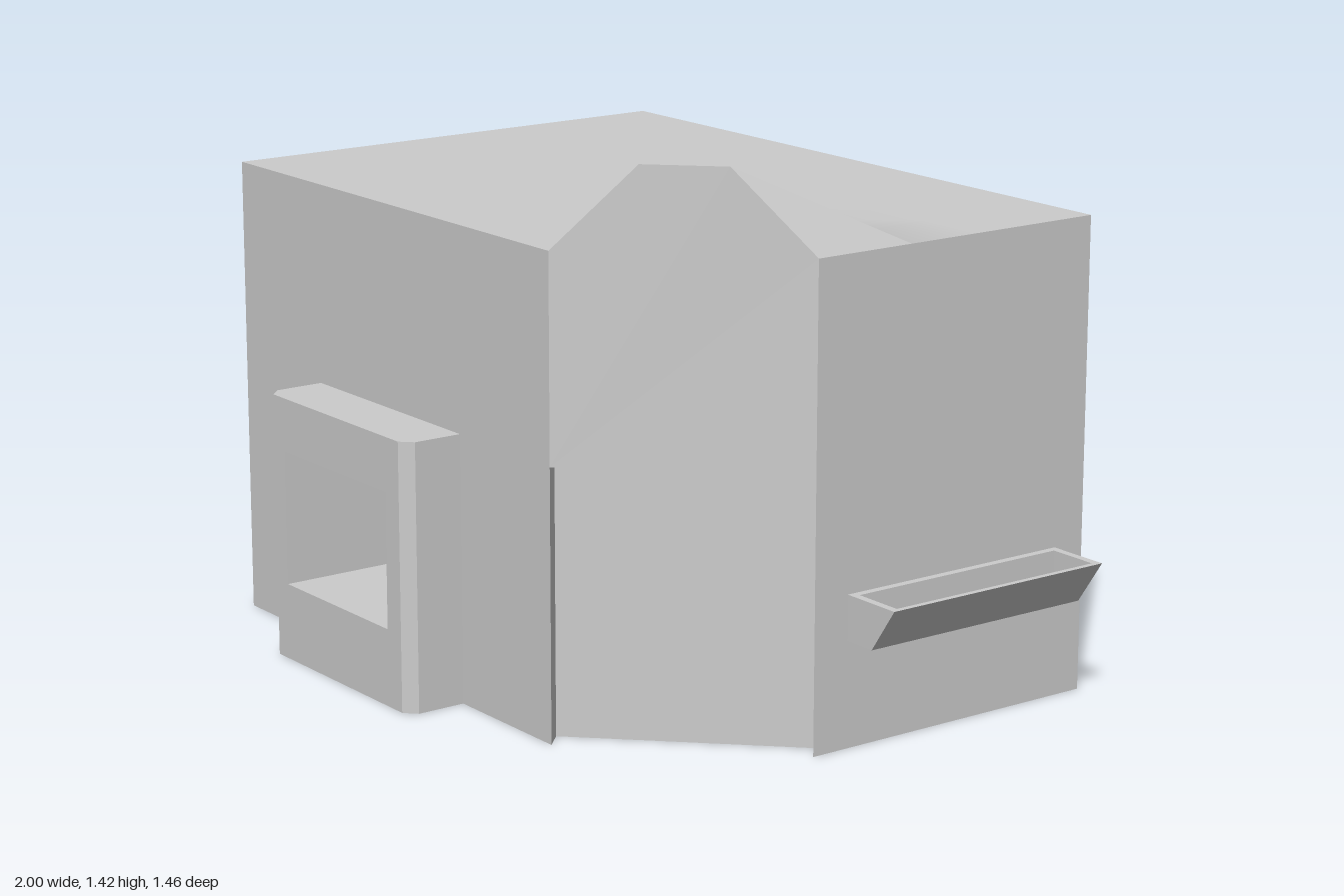
import * as THREE from 'three';
import { toCreasedNormals } from 'three/addons/utils/BufferGeometryUtils.js';

const material = new THREE.MeshStandardMaterial({ color: 0xcccccc, side: THREE.DoubleSide });

function add(parent, name, geometry) {
  const mesh = new THREE.Mesh(geometry, material);
  mesh.name = name;
  parent.add(mesh);
  return mesh;
}

// Convex flat polygons, each listed counter-clockwise from its front
function polygons(list) {
  const pos = [];
  for (const p of list)
    for (let i = 1; i < p.length - 1; i++) pos.push(...p[0], ...p[i], ...p[i + 1]);
  const g = new THREE.BufferGeometry();
  g.setAttribute('position', new THREE.Float32BufferAttribute(pos, 3));
  g.computeVertexNormals();
  return g;
}

// Upright walls along an [x, z] path, front on the right-hand side of travel
function walls(path, y0, y1) {
  return polygons(path.slice(1).map(([bx, bz], i) => {
    const [ax, az] = path[i];
    return [[ax, y0, az], [bx, y0, bz], [bx, y1, bz], [ax, y1, az]];
  }));
}

// Horizontal sheet facing up, outlined by [x, z] points
function sheet(points, y, hole) {
  const flip = (list) => list.map(([x, z]) => new THREE.Vector2(x, -z));
  const shape = new THREE.Shape(flip(points));
  if (hole) shape.holes.push(new THREE.Path(flip(hole)));
  return new THREE.ShapeGeometry(shape).rotateX(-Math.PI / 2).translate(0, y, 0);
}

// Vertical sheet facing +z, outlined by [x, y] points
function facade(points, z, hole) {
  const flat = (list) => list.map(([x, y]) => new THREE.Vector2(x, y));
  const shape = new THREE.Shape(flat(points));
  if (hole) shape.holes.push(new THREE.Path(flat(hole)));
  return new THREE.ShapeGeometry(shape).translate(0, 0, z);
}

const rect = (a0, b0, a1, b1) => [[a0, b0], [a1, b0], [a1, b1], [a0, b1]];

export function createModel() {
  const model = new THREE.Group();
  model.name = 'building';
  const H = 1.21, porchTop = 0.69;

  // Building shell, open underneath, with an opening behind the porch
  const shell = new THREE.Group();
  shell.name = 'shell';
  model.add(shell);
  add(shell, 'frontWall', facade([[-1, 0], [-0.63, 0], [-0.63, porchTop], [0.01, porchTop],
    [0.01, 0], [0.39, 0], [0.39, H], [-1, H]], 0.57));
  add(shell, 'sideAndBackWalls', walls([[0.83, 0.12], [0.83, -0.73], [-1, -0.73], [-1, 0.57]], 0, H));

  // Cut corner: gabled upper wall over a recessed lower wall
  add(shell, 'cornerGable', polygons([[[0.39, porchTop, 0.57], [0.83, porchTop, 0.12], [0.83, H, 0.12],
    [0.69, 1.42, 0.27], [0.54, 1.42, 0.42], [0.39, H, 0.57]]]));
  add(shell, 'cornerRecess', walls([[0.39, 0.57], [0.345, 0.525], [0.785, 0.075], [0.83, 0.12]], 0, porchTop));
  add(shell, 'cornerSoffit', polygons([[[0.39, porchTop, 0.57], [0.345, porchTop, 0.525],
    [0.785, porchTop, 0.075], [0.83, porchTop, 0.12]]]));

  // Flat roof, and the hump running back from the gable into it
  add(shell, 'roof', sheet([[-1, 0.57], [0.39, 0.57], [0.29, -0.16], [0.27, -0.36],
    [0.83, -0.36], [0.83, -0.73], [-1, -0.73]], H));
  const rows = [
    [[0.39, H, 0.57], [0.54, 1.42, 0.42], [0.69, 1.42, 0.27], [0.83, H, 0.12]],
    [0.29, 0.47, 0.65, 0.83].map((x) => [x, H, -0.16]),
    [0.27, 0.46, 0.645, 0.83].map((x) => [x, H, -0.36]),
  ];
  const hump = [];
  for (let r = 0; r < 2; r++)
    for (let i = 0; i < 3; i++) {
      const a = rows[r][i], b = rows[r][i + 1], c = rows[r + 1][i + 1], d = rows[r + 1][i];
      hump.push([a, b, c], [a, c, d]);
    }
  add(shell, 'roofHump', toCreasedNormals(polygons(hump), 0.7));

  // Porch box with bevelled front corners
  const porch = new THREE.Group();
  porch.name = 'porch';
  model.add(porch);
  const left = [[-0.63, 0.43], [-0.63, 0.7], [-0.6, 0.73]];
  const right = [[-0.02, 0.73], [0.01, 0.7], [0.01, 0.43]];
  add(porch, 'porchLeftSide', walls(left, 0, porchTop));
  add(porch, 'porchRightSide', walls(right, 0, porchTop));
  add(porch, 'porchRoof', sheet([...left, ...right], porchTop));
  add(porch, 'porchFront', facade(rect(-0.6, 0, -0.02, porchTop), 0.73, rect(-0.55, 0.2, -0.08, 0.55)));

  // Deep window niche in the porch
  add(porch, 'nicheWalls', walls([[-0.55, 0.73], [-0.55, 0.37], [-0.08, 0.37], [-0.08, 0.73]], 0.2, 0.55));
  add(porch, 'nicheSill', sheet(rect(-0.55, 0.73, -0.08, 0.37), 0.2));
  add(porch, 'nicheCeiling', polygons([[[-0.55, 0.55, 0.37], [-0.08, 0.55, 0.37],
    [-0.08, 0.55, 0.73], [-0.55, 0.55, 0.73]]]));

  // Wall trough: sloped front, hollow top with a thin rim
  const trough = new THREE.Group();
  trough.name = 'trough';
  model.add(trough);
  const prism = (x0, xb, xt, y0, y1, z0, z1) => {
    const end = (z) => [[x0, y0, z], [xb, y0, z], [xt, y1, z], [x0, y1, z]];
    const f = end(z1), b = end(z0);
    return [f, [b[3], b[2], b[1], b[0]], [f[0], b[0], b[1], f[1]],
      [f[1], b[1], b[2], f[2]], [b[0], f[0], f[3], b[3]]];
  };
  add(trough, 'troughOutside', polygons(prism(0.83, 0.92, 1, 0.27, 0.385, -0.64, 0.02)));
  const inside = prism(0.85, 0.93, 0.985, 0.305, 0.385, -0.62, 0);
  add(trough, 'troughInside', polygons(inside.map((p) => p.reverse())));
  add(trough, 'troughRim', sheet(rect(0.83, 0.02, 1, -0.64), 0.385, rect(0.85, 0, 0.985, -0.62)));

  return model;
}
